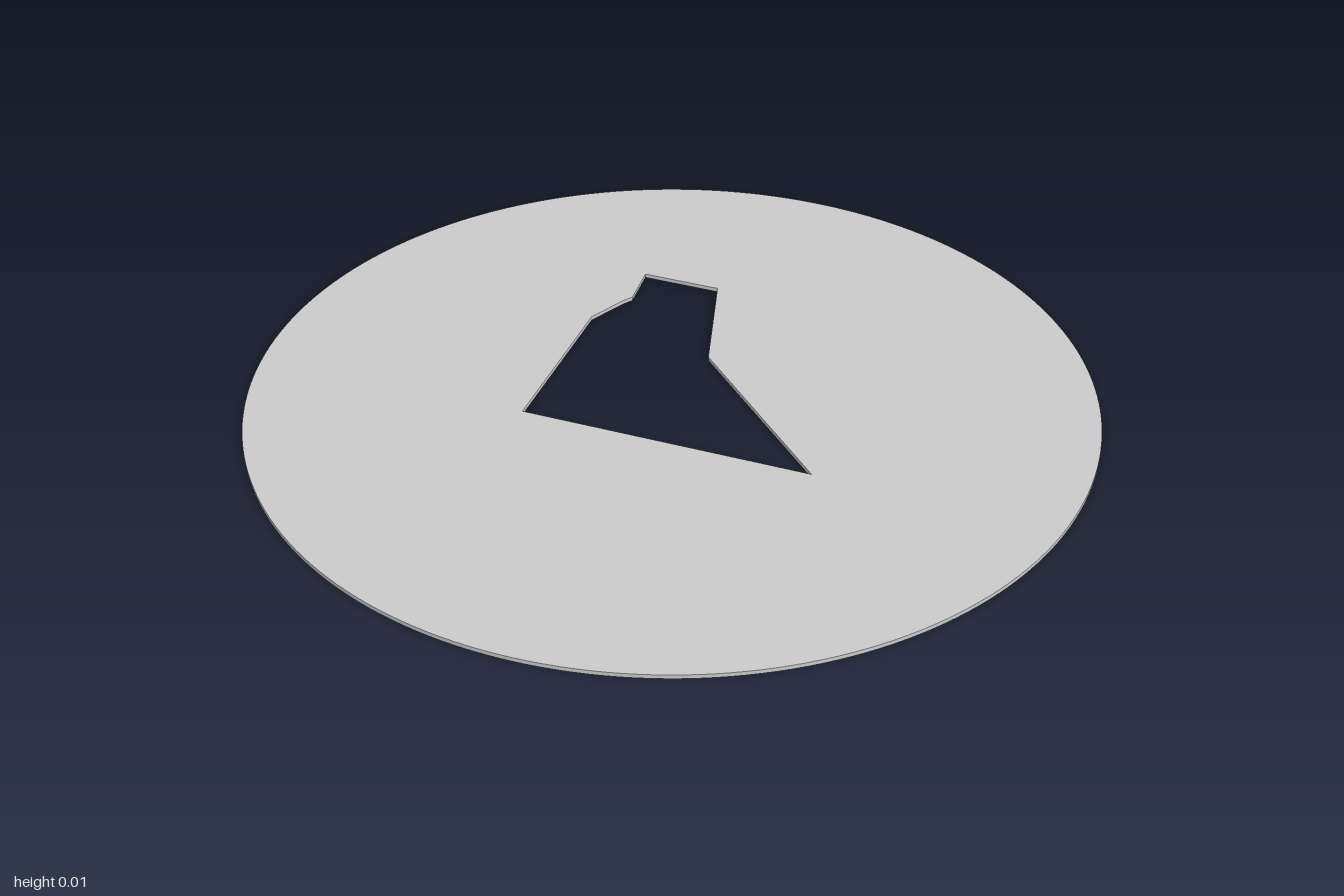
import * as THREE from 'three';
import { toCreasedNormals } from 'three/addons/utils/BufferGeometryUtils.js';

const THICKNESS = 0.01;

// Cut-out corners as [x, z]
const CUTOUT = [
  [0.17, -0.55], [0.307, -0.415], [0.157, -0.14], [0.17, 0.395],
  [-0.335, -0.105], [-0.03, -0.42], [0.07, -0.457], [0.097, -0.463],
];

export function createModel() {
  const group = new THREE.Group();
  group.name = 'cutoutDisc';

  // Round outline with an angular hole; shape y becomes -z once laid flat
  const outline = new THREE.Shape().absarc(0, 0, 1, 0, Math.PI * 2, false);
  outline.holes.push(new THREE.Path(CUTOUT.map(([x, z]) => new THREE.Vector2(x, -z))));

  const geometry = new THREE.ExtrudeGeometry(outline, {
    depth: THICKNESS, bevelEnabled: false, curveSegments: 96,
  });
  geometry.rotateX(-Math.PI / 2);

  // Smooth rim, sharp edges
  const disc = new THREE.Mesh(
    toCreasedNormals(geometry, Math.PI / 18),
    new THREE.MeshStandardMaterial({ color: 0xcccccc }),
  );
  disc.name = 'disc';
  group.add(disc);
  return group;
}
